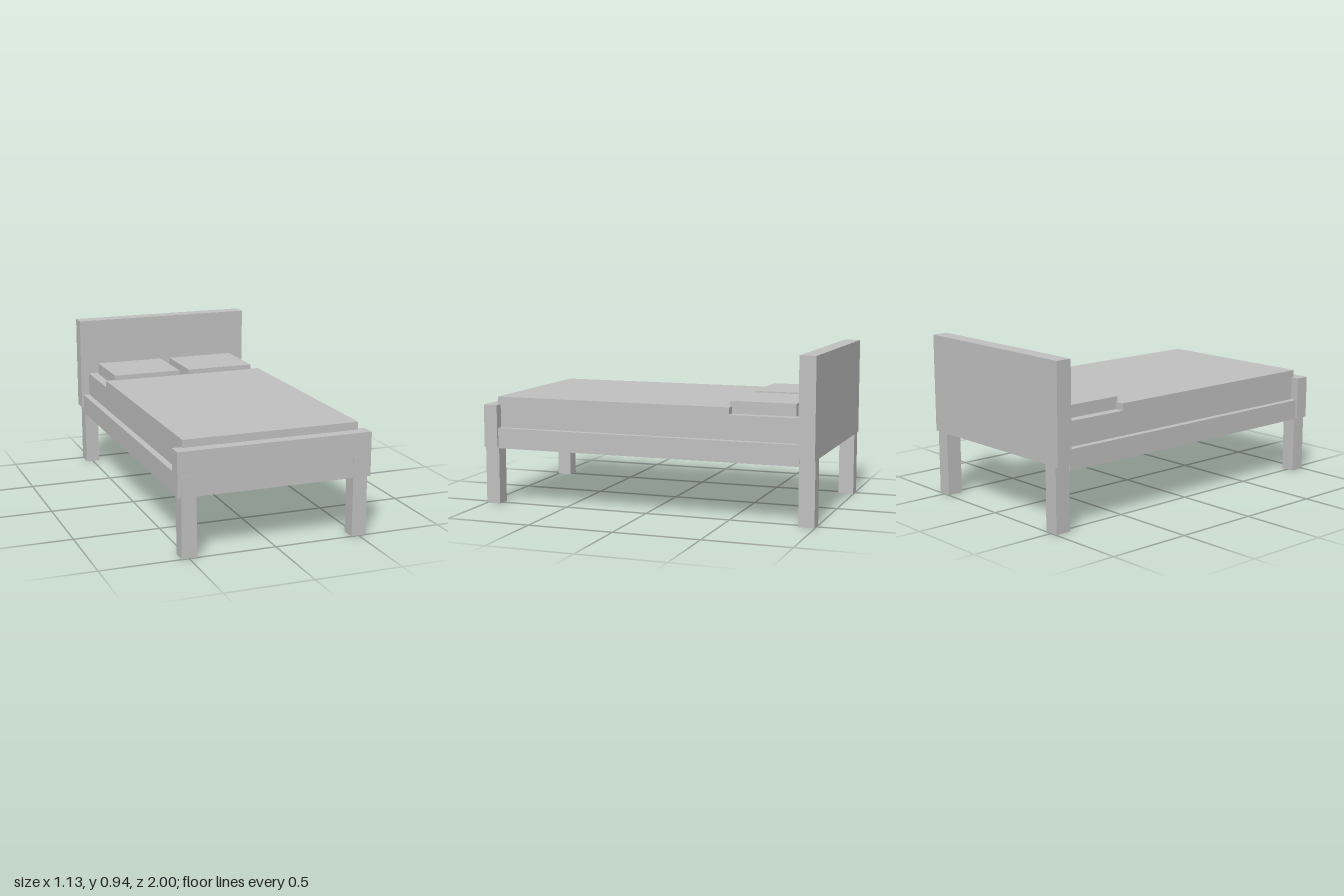
import * as THREE from 'three';

export function createModel() {
  const group = new THREE.Group();
  const grey = new THREE.MeshStandardMaterial({ color: 0xc0c0c0 });
  grey.name = 'light grey';

  // Box given by its limits on each axis
  function box(name, [x0, x1], [y0, y1], [z0, z1]) {
    const mesh = new THREE.Mesh(new THREE.BoxGeometry(x1 - x0, y1 - y0, z1 - z0), grey);
    mesh.position.set((x0 + x1) / 2, (y0 + y1) / 2, (z0 + z1) / 2);
    mesh.name = name;
    group.add(mesh);
  }

  // End boards
  box('headboard', [-0.563, 0.563], [0.373, 0.943], [-1, -0.906]);
  box('footboard', [-0.563, 0.563], [0.34, 0.593], [0.914, 0.998]);

  // Bed base and bedding
  box('bedFrame', [-0.55, 0.55], [0.335, 0.455], [-0.908, 0.916]);
  box('mattress', [-0.512, 0.512], [0.455, 0.596], [-0.906, 0.914]);
  box('blanket', [-0.512, 0.512], [0.59, 0.637], [-0.497, 0.932]);

  // Mirrored pillows and legs
  for (const side of [-1, 1]) {
    const span = (a, b) => (side > 0 ? [a, b] : [-b, -a]);
    box('pillow', span(0.031, 0.456), [0.594, 0.667], [-0.867, -0.487]);
    box('frontLeg', span(0.457, 0.542), [0, 0.46], [0.914, 1]);
    box('backLeg', span(0.457, 0.542), [0, 0.46], [-0.998, -0.906]);
  }
  return group;
}
